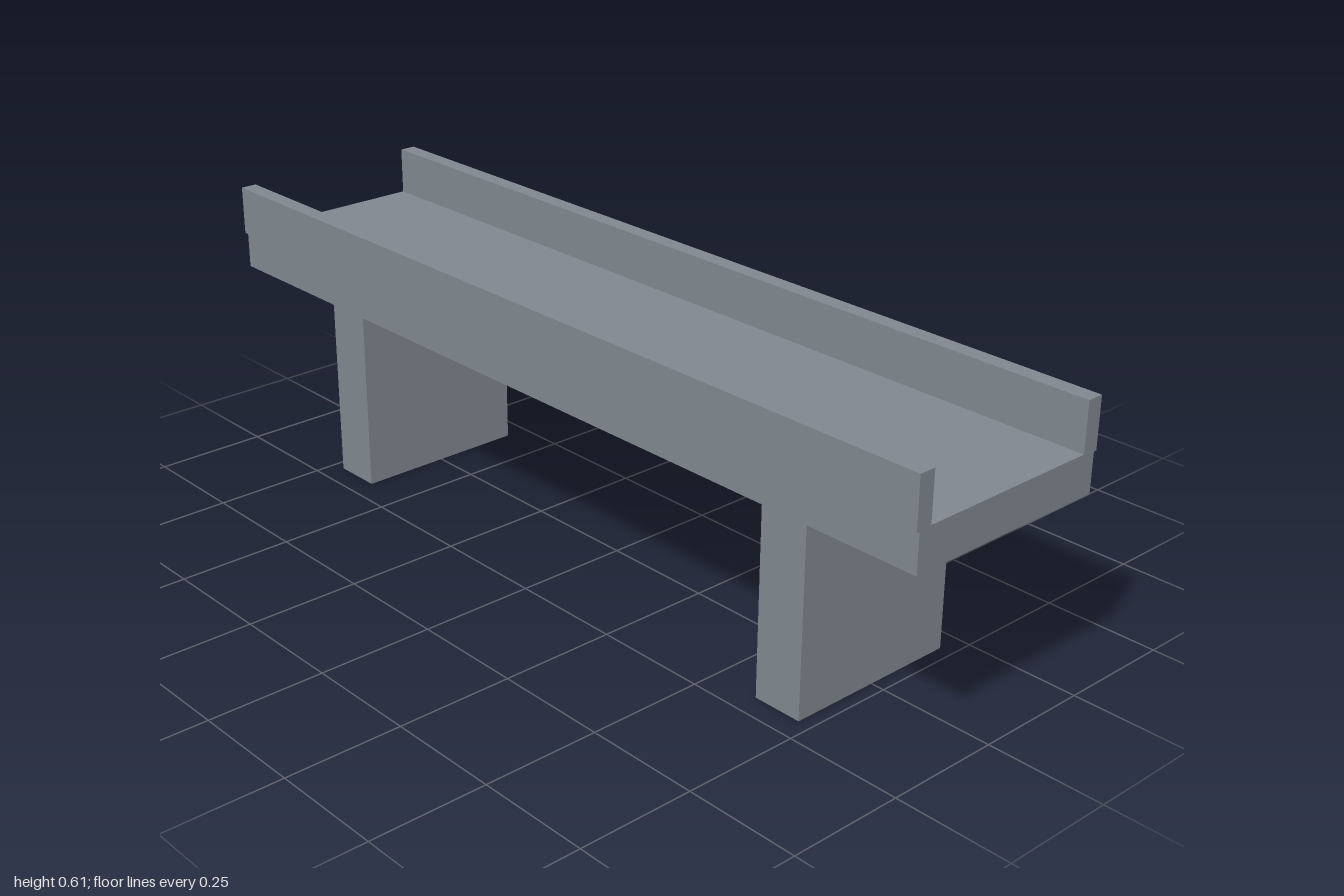
import * as THREE from 'three';

export function createModel() {
  const group = new THREE.Group();
  const concrete = new THREE.MeshStandardMaterial({ color: 0x7f878e });
  concrete.name = 'concrete grey';

  // Box given by its size, centre x/z and bottom height
  function block(name, w, h, d, x, bottom, z) {
    const mesh = new THREE.Mesh(new THREE.BoxGeometry(w, h, d), concrete);
    mesh.name = name;
    mesh.position.set(x, bottom + h / 2, z);
    group.add(mesh);
  }

  // Deck slab
  block('deck', 2, 0.085, 0.466, 0, 0.425, 0);

  for (const [side, s] of [['left', 1], ['right', -1]]) {
    // Wall piers under the deck
    block(side + 'Pier', 0.11, 0.425, 0.396, s * 0.665, 0, 0);
  }
  for (const [side, s] of [['front', 1], ['back', -1]]) {
    // Parapets, slightly overhanging the deck edges
    block(side + 'Parapet', 2, 0.107, 0.036, 0, 0.507, s * 0.222);
  }
  return group;
}
